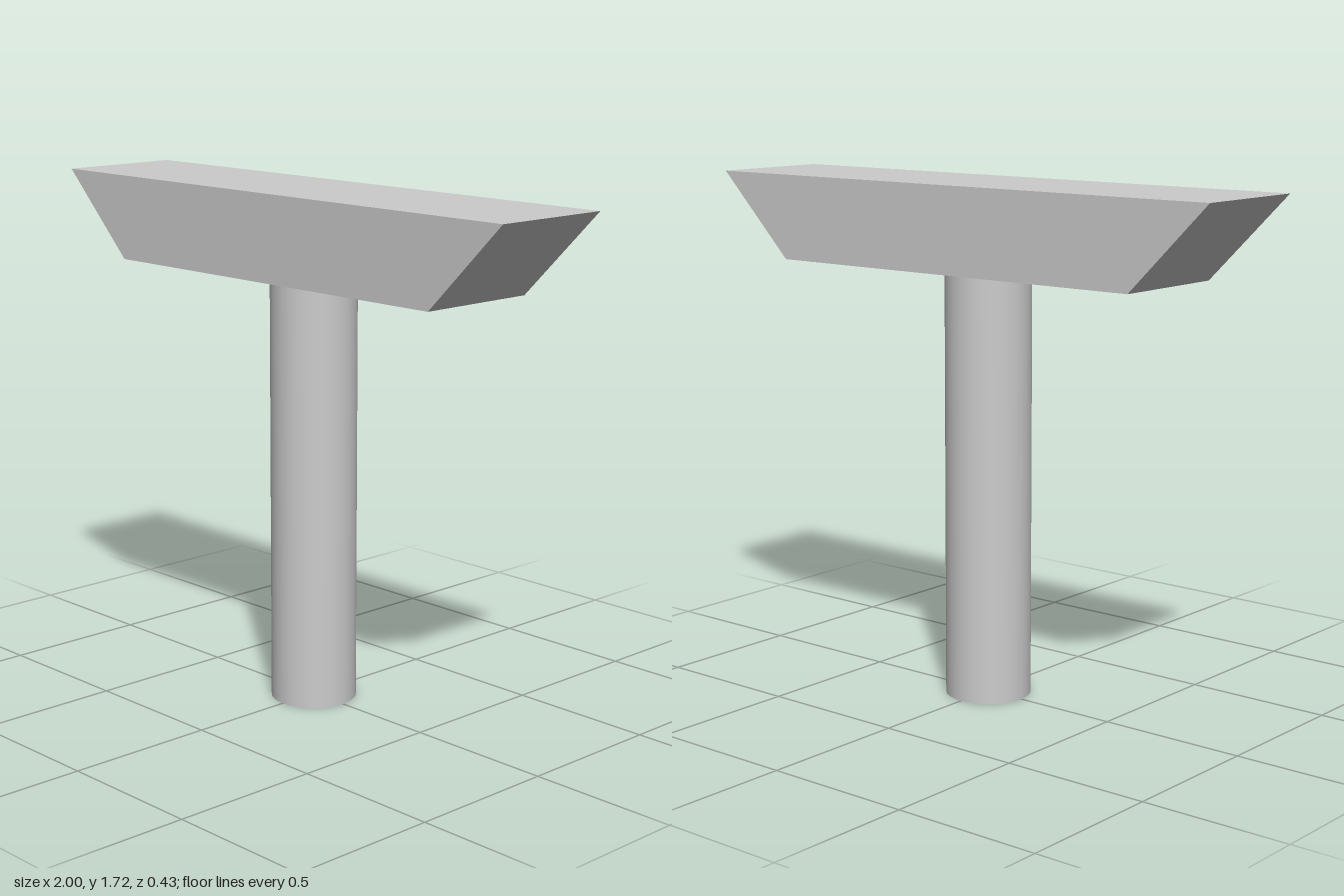
import * as THREE from 'three';

const COLUMN_HEIGHT = 1.43;
const COLUMN_RADIUS = 0.143;
const TOP_HEIGHT = 1.715;
const BEAM_DEPTH = 0.428;

export function createModel() {
  const model = new THREE.Group();
  model.name = 'columnWithCrossbeam';
  const material = new THREE.MeshStandardMaterial({ color: 0xcccccc });

  // Round column
  const column = new THREE.Mesh(
    new THREE.CylinderGeometry(COLUMN_RADIUS, COLUMN_RADIUS, COLUMN_HEIGHT, 32),
    material
  );
  column.name = 'column';
  column.position.y = COLUMN_HEIGHT / 2;
  model.add(column);

  // Crossbeam: trapezoid profile with ends sloping outwards to the top
  const profile = new THREE.Shape([
    new THREE.Vector2(-0.714, COLUMN_HEIGHT),
    new THREE.Vector2(0.714, COLUMN_HEIGHT),
    new THREE.Vector2(1, TOP_HEIGHT),
    new THREE.Vector2(-1, TOP_HEIGHT),
  ]);
  const beamGeometry = new THREE.ExtrudeGeometry(profile, { depth: BEAM_DEPTH, bevelEnabled: false });
  beamGeometry.translate(0, 0, -BEAM_DEPTH / 2);
  const beam = new THREE.Mesh(beamGeometry, material);
  beam.name = 'crossbeam';
  model.add(beam);

  return model;
}
